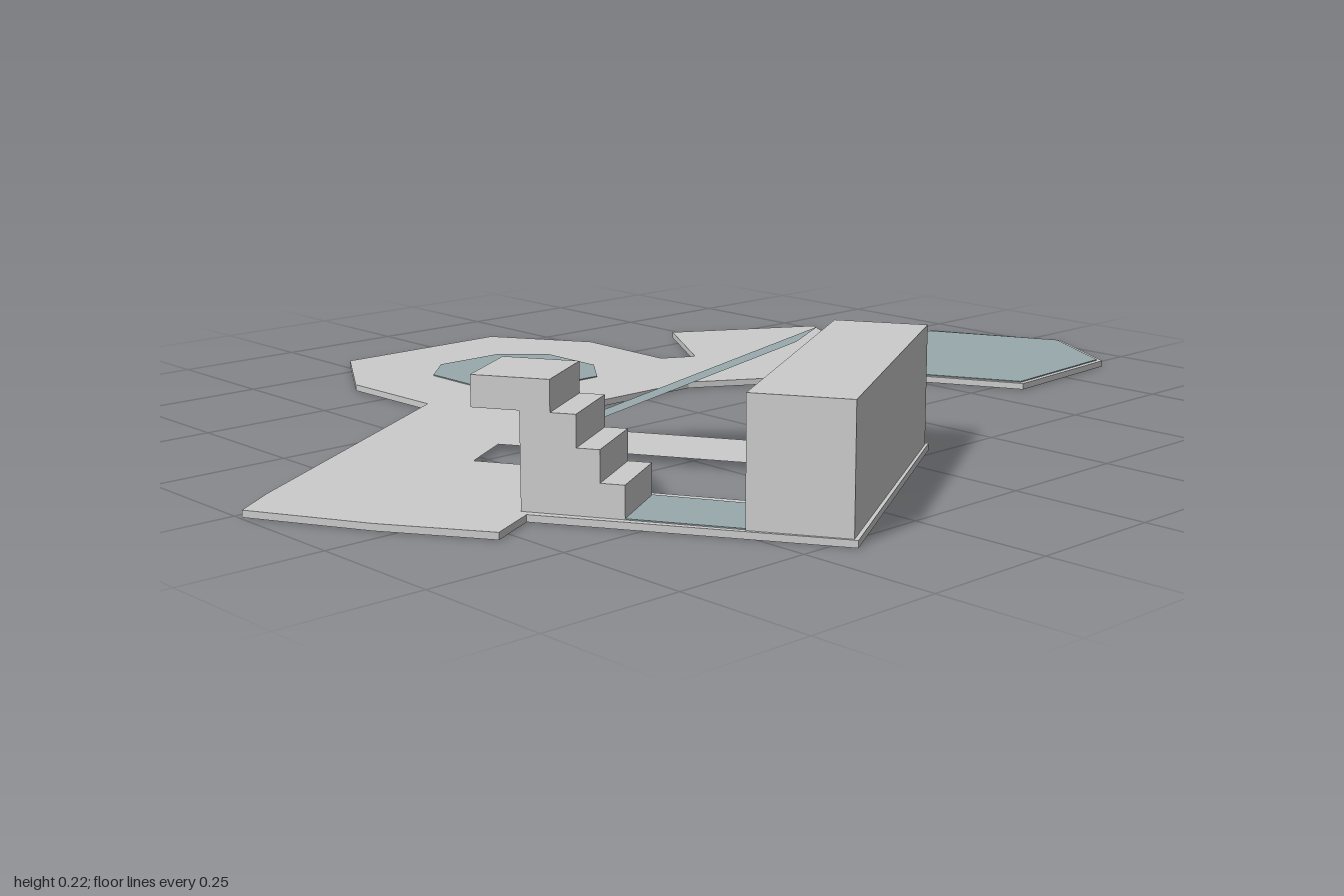
import * as THREE from 'three';

const GREY = new THREE.MeshStandardMaterial({ color: 0xcccccc, flatShading: true });
const TEAL = new THREE.MeshStandardMaterial({ color: 0x98a9ac, flatShading: true, side: THREE.DoubleSide });
const BASE = 0.012; // slab thickness
const TOP = 0.225;  // height of the block, ramp and landing

// Vertical prism from plan points [x, z]
function prism(name, points, y0, y1, material, hole) {
  const toPlan = (p) => p.map(([x, z]) => new THREE.Vector2(x, -z));
  const shape = new THREE.Shape(toPlan(points));
  if (hole) shape.holes.push(new THREE.Path(toPlan(hole)));
  const geo = new THREE.ExtrudeGeometry(shape, { depth: y1 - y0, bevelEnabled: false });
  geo.rotateX(-Math.PI / 2).translate(0, y0, 0);
  const mesh = new THREE.Mesh(geo, material);
  mesh.name = name;
  return mesh;
}

export function createModel() {
  const model = new THREE.Group();
  model.name = 'pavedCourt';

  // Ground slab, with the opening between ramp, block and stairs
  const outline = [
    [-0.18, -0.88], [0.09, -1], [0.28, -0.89], [0.3, -0.6], [0.035, -0.465],
    [-0.165, -0.13], [-0.165, 0.23], [-0.11, 0.32], [0.355, 0.05], [0.325, -0.015],
    [0.48, -0.1], [0.785, 0.42], [0.34, 0.69], [0.385, 0.78], [0.215, 0.89],
    [0.015, 0.995], [-0.04, 0.915], [-0.37, 0.355], [-0.6, 0.36], [-0.795, 0.24],
    [-0.795, -0.13], [-0.6, -0.25], [-0.37, -0.245], [-0.335, -0.31], [-0.555, -0.45],
    [-0.44, -0.645], [-0.39, -0.73], [-0.165, -0.605],
  ];
  const opening = [
    [-0.035, 0.45], [0.42, 0.185], [0.54, 0.375], [0.25, 0.54],
    [0.21, 0.465], [0.19, 0.455], [0.025, 0.55],
  ];
  model.add(prism('groundSlab', outline, 0, BASE, GREY, opening));

  // Coloured floor inlays
  const inlays = {
    hexagonInlay: [[-0.165, -0.87], [0.09, -0.99], [0.27, -0.885], [0.29, -0.605], [0.035, -0.475], [-0.155, -0.595]],
    octagonInlay: [[-0.63, -0.02], [-0.56, -0.095], [-0.41, -0.095], [-0.325, -0.03],
      [-0.325, 0.13], [-0.41, 0.2], [-0.56, 0.2], [-0.63, 0.13]],
    stairFootInlay: [[0.393, 0.478], [0.465, 0.6], [0.63, 0.503], [0.563, 0.385]],
  };
  for (const [name, pts] of Object.entries(inlays)) {
    model.add(prism(name, pts, BASE - 0.002, BASE + 0.002, TEAL));
  }

  // Tall block
  model.add(prism('block', [[0.338, -0.007], [0.48, -0.09], [0.777, 0.42], [0.633, 0.505]], BASE, TOP, GREY));

  // Thin ramp rising towards the block
  const ramp = new THREE.BufferGeometry();
  ramp.setAttribute('position', new THREE.Float32BufferAttribute([
    -0.055, BASE, 0.3, 0.015, BASE, 0.42, 0.425, TOP, 0.18, 0.36, TOP, 0.06,
  ], 3));
  ramp.setIndex([0, 1, 2, 0, 2, 3]);
  ramp.computeVertexNormals();
  const rampMesh = new THREE.Mesh(ramp, TEAL);
  rampMesh.name = 'ramp';
  model.add(rampMesh);

  // Stairs: side profile with an overhanging landing, extruded across the width
  const profile = [[0, TOP], [0, 0.173], [0.08, 0.173], [0.08, BASE]];
  const treads = [[0.25, 0.067], [0.21, 0.12], [0.172, 0.173], [0.13, TOP]];
  let y = BASE;
  for (const [x, h] of treads) {
    profile.push([x, y], [x, h]);
    y = h;
  }
  const stairShape = new THREE.Shape(profile.map(([x, h]) => new THREE.Vector2(x, h)));
  const stairs = new THREE.Mesh(
    new THREE.ExtrudeGeometry(stairShape, { depth: 0.14, bevelEnabled: false }), GREY);
  stairs.name = 'stairs';
  stairs.position.set(0.18, 0, 0.605);
  stairs.rotation.y = THREE.MathUtils.degToRad(30.5);
  model.add(stairs);

  return model;
}
